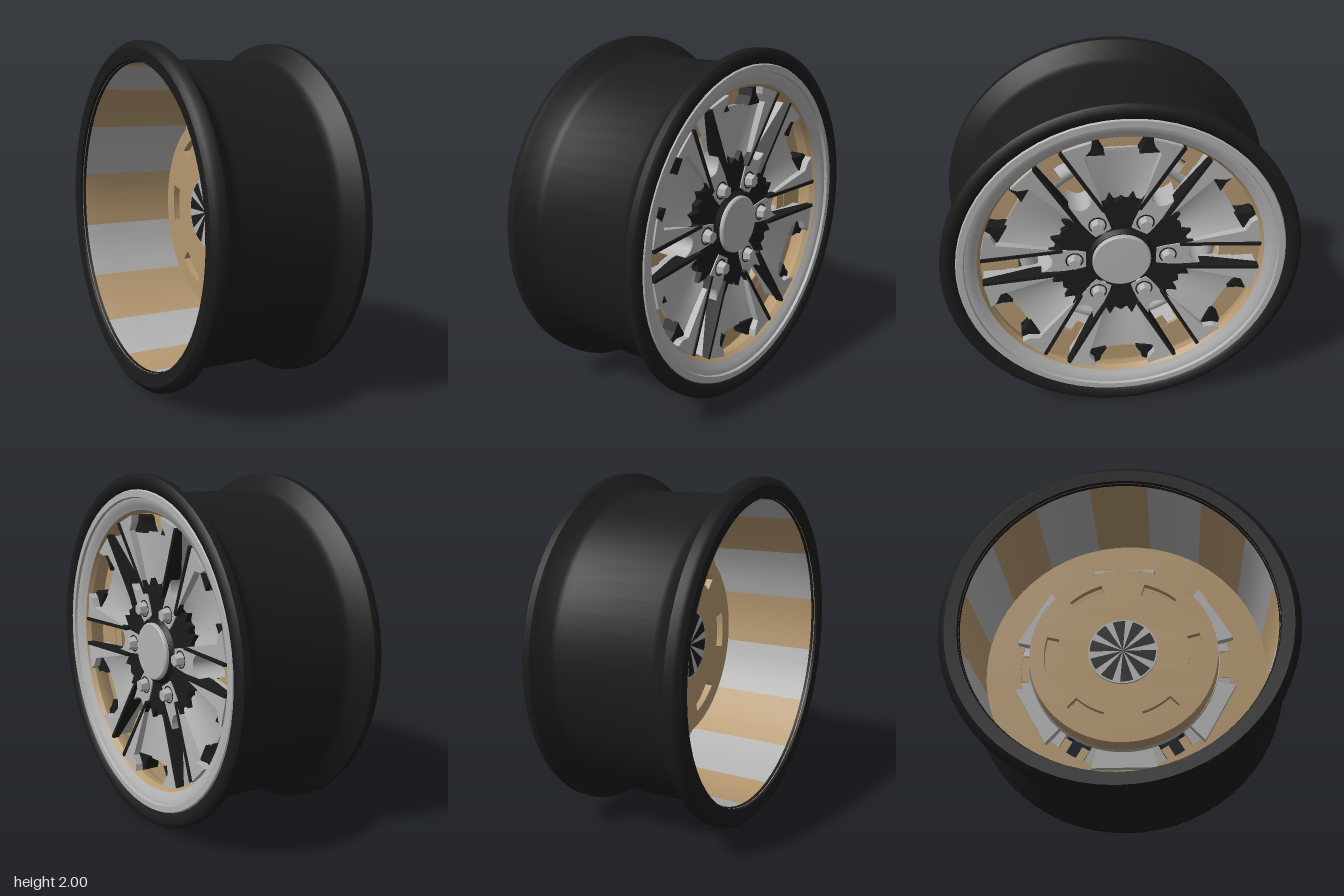
import * as THREE from 'three';
import { toCreasedNormals } from 'three/addons/utils/BufferGeometryUtils.js';

const mat = (name, color) => {
  const m = new THREE.MeshStandardMaterial({ color, side: THREE.DoubleSide });
  m.name = name;
  return m;
};

export function createModel() {
  const black = mat('black', 0x1b1b1b);
  const gray = mat('silver gray', 0xb2b2b2);
  const tan = mat('tan', 0xb59870);

  // The wheel is built with its axle along z and its face towards +z
  const wheel = new THREE.Group();
  wheel.name = 'wheel';
  const add = (name, geometry, material, parent = wheel) => {
    const mesh = new THREE.Mesh(geometry, material);
    mesh.name = name;
    parent.add(mesh);
    return mesh;
  };
  // Profile points are [radius, z]
  const lathe = (pts, seg = 64, start = 0, length = Math.PI * 2, crease = 0.7) =>
    toCreasedNormals(new THREE.LatheGeometry(
      pts.map(([r, z]) => new THREE.Vector2(r, z)), seg, start, length), crease).rotateX(Math.PI / 2);
  const poly = (pts) => new THREE.Shape(pts.map(([x, y]) => new THREE.Vector2(x, y)));
  const plate = (shape, z0, z1) => new THREE.ExtrudeGeometry(shape,
    { depth: z1 - z0, bevelEnabled: false, curveSegments: 24 }).translate(0, 0, z0);
  const disc = (r) => new THREE.Shape().absarc(0, 0, r, 0, Math.PI * 2);
  // Faces lean forward towards the rim
  const lean = (geometry) => {
    const p = geometry.attributes.position;
    for (let i = 0; i < p.count; i++) p.setZ(i, p.getZ(i) + 0.1 * (p.getY(i) - 0.6));
    geometry.computeVertexNormals();
    return geometry;
  };

  // Outer shell with both flanges
  add('outerShell', lathe([[0.88, -0.43], [0.89, -0.465], [0.96, -0.475], [0.985, -0.458], [1, -0.44],
    [1, -0.395], [0.985, -0.38], [0.92, -0.315], [0.905, -0.29], [0.9, -0.26], [0.9, 0.28],
    [0.905, 0.31], [0.92, 0.335], [0.985, 0.395], [1, 0.41], [1, 0.45], [0.985, 0.466],
    [0.96, 0.47], [0.93, 0.462], [0.915, 0.445]]), black);
  // Stepped front lip
  add('frontLip', lathe([[0.92, 0.44], [0.91, 0.456], [0.875, 0.456], [0.87, 0.44], [0.85, 0.437],
    [0.83, 0.425], [0.803, 0.41]]), gray);
  add('frontBarrel', lathe([[0.805, 0.41], [0.785, 0.38], [0.79, 0.34], [0.85, 0.26]]), tan);

  // Rear barrel in alternating bands
  const band = Math.PI / 8;
  for (let i = 0; i < 16; i++) {
    add('barrelBand', lathe([[0.885, -0.45], [0.88, -0.4], [0.878, -0.3], [0.878, 0.28]],
      4, (i - 0.5) * band, band), i % 2 ? gray : tan);
  }

  // Barrel web behind the spokes
  const web = disc(0.88);
  web.holes.push(new THREE.Path().absarc(0, 0, 0.66, 0, Math.PI * 2));
  add('barrelWeb', plate(web, 0.25, 0.27), tan);

  // Rear drum with slots
  const drum = disc(0.57);
  for (let i = 0; i < 6; i++) {
    const a = i * Math.PI / 3;
    const slot = new THREE.Path();
    slot.absarc(0, 0, 0.48, a - 0.24, a + 0.24, false);
    slot.absarc(0, 0, 0.4, a + 0.24, a - 0.24, true);
    drum.holes.push(slot);
  }
  add('rearDrum', plate(drum, 0.03, 0.07), tan);
  add('drumFace', new THREE.CircleGeometry(0.57, 48).translate(0, 0, 0.125), tan);
  add('drumSide', lathe([[0.57, 0.03], [0.58, 0.14]]), tan);
  add('rearHubFace', new THREE.CylinderGeometry(0.21, 0.21, 0.02, 48).rotateX(Math.PI / 2)
    .translate(0, 0, 0.025), gray);
  for (let i = 0; i < 10; i++) {
    add('rearHubWedge', new THREE.CircleGeometry(0.2, 4, i * Math.PI / 5, Math.PI / 8)
      .translate(0, 0, 0.012), black);
  }

  // Rounded ring behind the spokes
  add('innerRing', lathe([[0.49, 0.12], [0.5, 0.17], [0.53, 0.2], [0.565, 0.2], [0.585, 0.17],
    [0.585, 0.12]], 64, 0, Math.PI * 2, 1), gray);

  // Hub and centre cap
  add('hub', lathe([[0.34, 0.12], [0.34, 0.24], [0.24, 0.28], [0.17, 0.36], [0, 0.36]], 48), black);
  add('centreCap', lathe([[0.166, 0.3], [0.166, 0.375], [0.158, 0.383], [0, 0.385]], 48), gray);

  // One curved-edge arm; s mirrors it
  const armShape = (s) => {
    const shape = new THREE.Shape();
    shape.moveTo(0.1 * s, 0.35);
    shape.lineTo(0.312 * s, 0.72);
    shape.lineTo(0.16 * s, 0.77);
    shape.lineTo(0.165 * s, 0.73);
    shape.lineTo(0.2 * s, 0.68);
    shape.quadraticCurveTo(0.16 * s, 0.56, 0.115 * s, 0.35);
    return shape;
  };
  // Recessed pocket between the arms, hollowed across its width
  const pocket = () => {
    const g = new THREE.PlaneGeometry(1, 1, 12, 8);
    const p = g.attributes.position;
    for (let i = 0; i < p.count; i++) {
      const u = p.getX(i) * 2, v = p.getY(i) + 0.5;
      p.setXYZ(i, u * (0.115 + 0.095 * v), 0.37 + 0.31 * v, 0.295 + 0.035 * u * u + 0.03 * v);
    }
    g.computeVertexNormals();
    return g;
  };

  for (let i = 0; i < 6; i++) {
    // Wide spoke panel
    const panel = new THREE.Group();
    panel.name = 'spokePanel';
    panel.rotation.z = i * Math.PI / 3;
    wheel.add(panel);
    for (const s of [-1, 1]) {
      add('arm', lean(plate(armShape(s), 0.255, 0.39)), gray, panel);
      add('notchWedge', plate(poly([[0.09 * s, 0.67], [0.21 * s, 0.67], [0.16 * s, 0.772],
        [0.13 * s, 0.76], [0.12 * s, 0.72]]), 0.272, 0.36), black, panel);
    }
    add('pocket', pocket(), gray, panel);
    add('panelBody', plate(poly([[-0.115, 0.38], [0.115, 0.38], [0.2, 0.67], [-0.2, 0.67]]),
      0.2, 0.285), gray, panel);
    // Jagged hub point
    add('hubPoint', plate(poly([[-0.08, 0.16], [0.08, 0.16], [0.12, 0.3], [0.1, 0.335],
      [0.065, 0.415], [0.035, 0.36], [0, 0.385], [-0.035, 0.36], [-0.065, 0.415], [-0.1, 0.335],
      [-0.12, 0.3]]), 0.24, 0.338), black, panel);

    // Channel with lug pad, nut and dark side walls
    const channel = new THREE.Group();
    channel.name = 'spokeChannel';
    channel.rotation.z = i * Math.PI / 3;
    wheel.add(channel);
    const pad = poly([[0.2, -0.05], [0.24, -0.06], [0.36, -0.075], [0.47, -0.075]]);
    pad.bezierCurveTo(0.36, -0.05, 0.36, 0.05, 0.47, 0.075);
    pad.lineTo(0.36, 0.075);
    pad.lineTo(0.24, 0.06);
    pad.lineTo(0.2, 0.05);
    add('lugPad', plate(pad, 0.16, 0.345), gray, channel);
    add('nutSeat', new THREE.RingGeometry(0.043, 0.051, 24).translate(0.265, 0, 0.348), black, channel);
    add('lugNut', toCreasedNormals(new THREE.CylinderGeometry(0.034, 0.042, 0.05, 6), 0.4)
      .rotateX(Math.PI / 2).translate(0.265, 0, 0.365), gray, channel);
    for (const s of [-1, 1]) {
      const wall = plate(poly([[0.33, 0.27], [0.5, 0.29], [0.78, 0.37], [0.78, 0.412], [0.33, 0.367]]),
        -0.01, 0.01);
      add('channelWall', wall.rotateX(Math.PI / 2).translate(0, 0.08 * s, 0), black, channel);
    }
    // Channel floor, left open where the through holes are
    const open = i % 3 !== 0;
    for (const s of open ? [-1, 1] : [0]) {
      add('channelFloor', new THREE.BoxGeometry(0.09, open ? 0.05 : 0.17, 0.01)
        .translate(0.625, 0.06 * s, 0.262), tan, channel);
    }
  }

  // Stand the wheel up with its face towards +x
  wheel.rotation.y = Math.PI / 2;
  wheel.position.y = 1;
  const model = new THREE.Group();
  model.name = 'wheelRim';
  model.add(wheel);
  return model;
}
